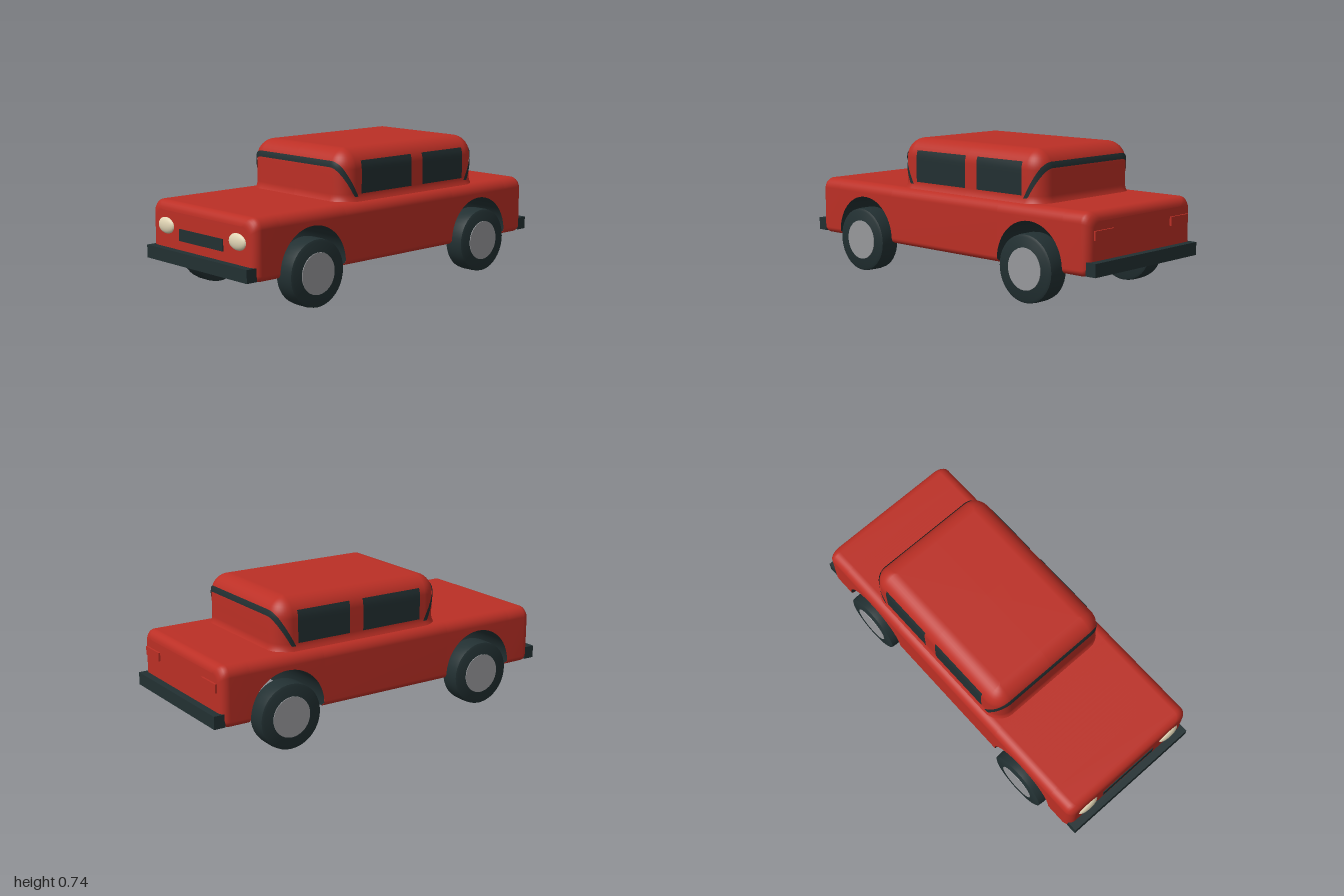
import * as THREE from 'three';
import { toCreasedNormals } from 'three/addons/utils/BufferGeometryUtils.js';

const paint = (name, color, side = THREE.FrontSide) => {
  const m = new THREE.MeshStandardMaterial({ color, side });
  m.name = name;
  return m;
};

// Surface through rows of equally many points
function loft(rows, capEnds = false) {
  const n = rows[0].length, idx = [];
  for (let s = 0; s < rows.length - 1; s++)
    for (let i = 0; i < n - 1; i++) {
      const a = s * n + i, c = a + n;
      idx.push(a, a + 1, c, a + 1, c + 1, c);
    }
  if (capEnds) {
    const last = (rows.length - 1) * n;
    for (let i = 0; i < n / 2 - 1; i++) {
      const a = i, b = i + 1, c = n - 2 - i, d = n - 1 - i;
      idx.push(last + a, last + b, last + c, last + a, last + c, last + d);
      idx.push(a, c, b, a, d, c);
    }
  }
  const g = new THREE.BufferGeometry();
  g.setAttribute('position', new THREE.Float32BufferAttribute(rows.flat(2), 3));
  g.setIndex(idx);
  g.computeVertexNormals();
  return g;
}

const arc = (r, d) => r - Math.sqrt(Math.max(0, r * r - d * d));

// ---- Lower body sections ----
const FLOOR = 0.17, ARCH_Z = 0.595, ARCH_Y = 0.19, ARCH_R = 0.21, LENGTH = 0.96, END_R = 0.045;
const levels = [];
for (let i = 0; i <= 4; i++) levels.push(0.2 - 0.03 * Math.cos((i / 4) * Math.PI / 2));
for (let i = 0; i <= 8; i++) levels.push(0.42 + 0.055 * Math.sin((i / 8) * Math.PI / 2));

function bodySection({ z, b, e }) {
  const half = levels.map(level => {
    const y = Math.max(level, b);
    const inset = y < 0.2 ? arc(0.03, 0.2 - y) : y > 0.42 ? arc(0.055, y - 0.42) : 0;
    return [0.41 - inset - e, y - e * (y - 0.32) / 0.155, z];
  });
  return [...half, ...half.map(([x, y, w]) => [-x, y, w]).reverse()];
}

function bodyStations() {
  const list = [];
  for (let i = 0; i <= 6; i++) {
    const a = (i / 6) * Math.PI / 2;
    list.push({ z: -LENGTH + END_R * (1 - Math.sin(a)), b: FLOOR, e: END_R * (1 - Math.cos(a)) });
  }
  list.reverse();
  list.sort((p, q) => p.z - q.z);
  const ends = list.map(s => ({ ...s, z: -s.z })).reverse();
  for (const c of [-ARCH_Z, ARCH_Z]) {
    list.push({ z: c - ARCH_R, b: FLOOR, e: 0 });
    for (let i = 0; i <= 28; i++) {
      const a = Math.PI * (1 - i / 28);
      list.push({ z: c + ARCH_R * Math.cos(a), b: ARCH_Y + ARCH_R * Math.sin(a), e: 0 });
    }
    list.push({ z: c + ARCH_R, b: FLOOR, e: 0 });
  }
  return [...list, ...ends];
}

// ---- Cabin outline at a height; t runs front middle, corner, side middle ----
const HX = 0.36, HZ = 0.49, ROOF = 0.735, ROOF_R = 0.1, CORNER = 0.09;
function cabinPoint(y, t, off = 0) {
  const k = y < 0.51 ? -0.02 * ((0.51 - y) / 0.05) ** 2
    : y > ROOF - ROOF_R ? arc(ROOF_R, y - ROOF + ROOF_R) : 0;
  const inset = k - off, r = Math.max(CORNER - inset, 0.005);
  const cx = HX - inset - r, cz = HZ - inset - r;
  if (t <= 1) return [cx * t, y, cz + r];
  if (t >= 2) return [cx + r, y, cz * (3 - t)];
  const a = (t - 1) * Math.PI / 2;
  return [cx + r * Math.sin(a), y, cz + r * Math.cos(a)];
}

function cabinGeometry() {
  const T = [0, 1];
  for (let i = 1; i <= 10; i++) T.push(1 + i / 10);
  T.push(3);
  const ys = [0.46, 0.47, 0.48, 0.49, 0.5, 0.51, 0.57];
  for (let i = 0; i <= 10; i++) ys.push(ROOF - ROOF_R + ROOF_R * Math.sin((i / 10) * Math.PI / 2));
  const rows = ys.map(y => {
    const q = T.map(t => cabinPoint(y, t));
    const flip = (sx, sz) => q.map(([x, h, z]) => [sx * x, h, sz * z]);
    return [...flip(1, 1).slice(0, -1), ...flip(1, -1).reverse().slice(0, -1),
      ...flip(-1, -1).slice(0, -1), ...flip(-1, 1).reverse()];
  });
  rows.push(rows[0].map(() => [0, ROOF, 0]));
  return loft(rows);
}

// Curved band where a sloping slab meets the cabin skin
function screenBand() {
  const T = [0, 0.5, 1];
  for (let i = 1; i <= 20; i++) T.push(1 + i / 20);
  T.push(2.03, 2.06);
  const row = c => {
    const half = T.map(t => {
      let lo = 0.497, hi = ROOF;
      for (let i = 0; i < 30; i++) {
        const y = (lo + hi) / 2;
        if (y > c + 1.9 * (cabinPoint(y, t)[2] - HZ)) hi = y; else lo = y;
      }
      return cabinPoint(lo, t, 0.004);
    });
    return [...half.slice(1).map(([x, y, z]) => [-x, y, z]).reverse(), ...half];
  };
  return loft([0, 1, 2, 3, 4].map(i => row(0.645 + 0.0115 * i)));
}

// Side window following the cabin skin
function sideWindow(z0, z1, sx) {
  const rows = [];
  for (let i = 0; i <= 8; i++) {
    const y = 0.51 + 0.165 * i / 8, x = sx * cabinPoint(y, 3, 0.004)[0];
    rows.push([[x, y, z0], [x, y, z1]]);
  }
  return loft(rows);
}

export function createModel() {
  const model = new THREE.Group();
  const red = paint('body red', 0xbb2f25);
  const dark = paint('dark trim', 0x223032);
  const glass = paint('dark glass', 0x222f31, THREE.DoubleSide);
  const grey = paint('hub grey', 0x97989b);
  const cream = paint('lamp cream', 0xe0d4b4);
  const add = (name, geo, mat, x = 0, y = 0, z = 0, parent = model) => {
    const m = new THREE.Mesh(geo, mat);
    m.name = name;
    m.position.set(x, y, z);
    parent.add(m);
    return m;
  };
  const box = (w, h, d) => new THREE.BoxGeometry(w, h, d);

  // Body shell, floor panels and wheel tunnels
  const stations = bodyStations();
  const sections = stations.map(bodySection);
  add('bodyShell', loft(sections, true), red);
  const underside = (name, test, mat) => {
    let run = [];
    const flush = () => {
      if (run.length > 1) add(name, loft(run), mat);
      run = [];
    };
    for (let s = 0; s < sections.length - 1; s++) {
      const isArch = stations[s].b > FLOOR || stations[s + 1].b > FLOOR;
      if (isArch !== test) { flush(); continue; }
      const edge = p => [p[p.length - 1], p[0]];
      if (!run.length) run.push(edge(sections[s]));
      run.push(edge(sections[s + 1]));
    }
    flush();
  };
  const floorRed = paint('floor red', 0xbb2f25, THREE.DoubleSide);
  const tunnelDark = paint('wheel tunnel dark', 0x223032, THREE.DoubleSide);
  underside('floor', false, floorRed);
  underside('wheelTunnel', true, tunnelDark);

  // Cabin with wraparound screens and side windows
  const cabin = new THREE.Group();
  cabin.name = 'cabin';
  cabin.position.z = -0.13;
  model.add(cabin);
  add('cabinShell', cabinGeometry(), red, 0, 0, 0, cabin);
  add('windscreen', screenBand(), glass, 0, 0, 0, cabin);
  add('rearScreen', screenBand(), glass, 0, 0, 0, cabin).rotation.y = Math.PI;
  for (const sx of [-1, 1]) {
    const order = (a, b) => sx > 0 ? sideWindow(a, b, sx) : sideWindow(b, a, sx);
    add('frontSideWindow', order(0.235, -0.12), glass, 0, 0, 0);
    add('rearSideWindow', order(-0.2, -0.505), glass, 0, 0, 0);
  }

  // Bumpers, grille and lamps
  for (const sz of [-1, 1]) add('bumper', box(0.8, 0.066, 0.06), dark, 0, 0.21, sz * 0.97);
  add('grille', box(0.35, 0.06, 0.009), dark, 0, 0.32, LENGTH);
  for (const sx of [-1, 1]) {
    const lamp = new THREE.SphereGeometry(1, 24, 16).scale(0.065, 0.042, 0.022);
    add('headlight', lamp, cream, sx * 0.284, 0.353, 0.957);
    add('tailLight', box(0.14, 0.045, 0.02), red, sx * 0.295, 0.365, -0.96);
  }

  // Wheels
  const profile = [[0, -0.058], [0.155, -0.058], [0.167, -0.052], [0.17, -0.03], [0.17, 0.03],
    [0.167, 0.052], [0.155, 0.058], [0, 0.058]].map(p => new THREE.Vector2(...p));
  const tyre = toCreasedNormals(new THREE.LatheGeometry(profile, 40), 0.6);
  const hub = new THREE.CylinderGeometry(0.104, 0.108, 0.02, 32);
  for (const sx of [-1, 1])
    for (const sz of [-1, 1]) {
      const wheel = new THREE.Group();
      wheel.name = 'wheel';
      wheel.position.set(sx * 0.383, 0.17, sz * ARCH_Z);
      wheel.rotation.z = -sx * Math.PI / 2;
      model.add(wheel);
      add('tyre', tyre, dark, 0, 0, 0, wheel);
      add('hubcap', hub, grey, 0, 0.051, 0, wheel);
    }
  return model;
}
